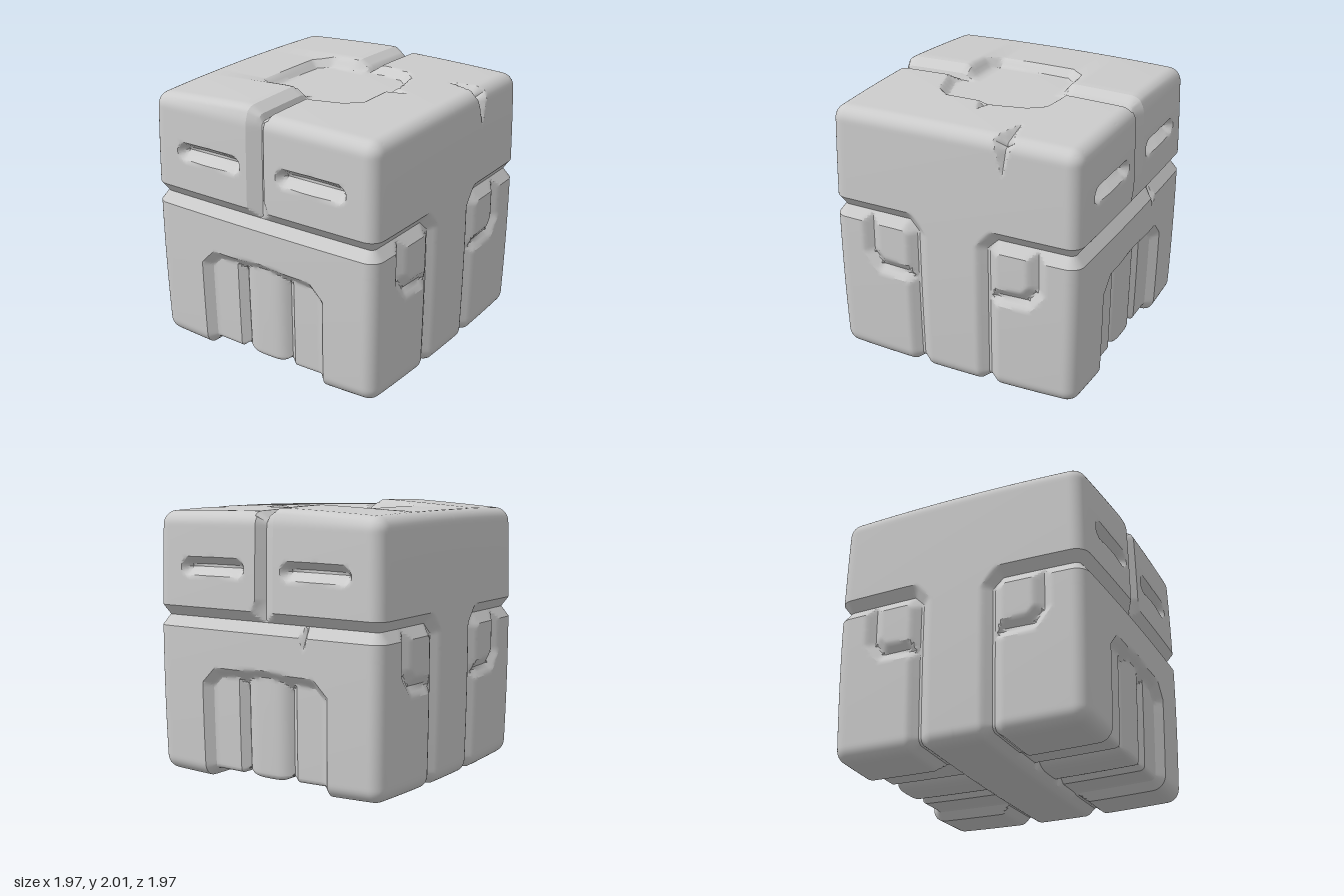
import * as THREE from 'three';
import { toCreasedNormals } from 'three/addons/utils/BufferGeometryUtils.js';

const N = 100;          // grid cells along each cube edge
const ROUND = 0.1;      // edge rounding
const clamp = THREE.MathUtils.clamp;
const sat = (t) => clamp(t, 0, 1);

// Distance from a point to one segment
function segDist(px, py, [ax, ay], [bx, by]) {
  const dx = bx - ax, dy = by - ay;
  const t = sat(((px - ax) * dx + (py - ay) * dy) / (dx * dx + dy * dy));
  return Math.hypot(px - ax - t * dx, py - ay - t * dy);
}

function pathDist(px, py, path) {
  let d = Infinity;
  for (let i = 1; i < path.length; i++) d = Math.min(d, segDist(px, py, path[i - 1], path[i]));
  return d;
}

// How far a point lies inside a closed outline (0 outside)
function insideDist(px, py, outline) {
  let inside = false;
  for (let i = 0, j = outline.length - 1; i < outline.length; j = i++) {
    const [ax, ay] = outline[i], [bx, by] = outline[j];
    if ((ay > py) !== (by > py) && px < ((bx - ax) * (py - ay)) / (by - ay) + ax) inside = !inside;
  }
  return inside ? pathDist(px, py, [...outline, outline[0]]) : 0;
}

// V-shaped cut; the two walls may have different widths
const vCut = (d, below, above, depth) => depth * sat(1 - Math.abs(d) / (d < 0 ? below : above));

// Outlines, in cube coordinates from -1 to 1
const MOUTH = [[-0.56, -2], [-0.56, -0.28], [-0.45, -0.17], [0, -0.145], [0.45, -0.17], [0.56, -0.28], [0.56, -2]];
const CROWN = [[-0.46, -0.28], [-0.34, -0.4], [-0.12, -0.42], [0, -0.48], [0.1, -0.46], [0.33, -0.44], [0.43, -0.33],
  [0.49, -0.08], [0.45, 0.06], [0.45, 0.34], [0.36, 0.44], [0.1, 0.52], [0, 0.5], [-0.08, 0.43], [-0.34, 0.43], [-0.45, 0.35]];
const SIDE_GROOVE = [[2, 0.2], [0.36, 0.2], [0.29, 0.12], [0.29, -2]];
const STUD_GROOVE = [[0.68, 0.2], [0.68, -0.12], [0.6, -0.22], [0.38, -0.23], [0.29, -0.27]];

// Mouth recess with three teeth rising out of it
function mouthDepth(x, y) {
  const wall = insideDist(x, y, MOUTH);
  const a = Math.abs(x);
  const tooth = a < 0.2 ? 0.055 + 0.06 * (a / 0.2) ** 4 : 0.065 + 0.05 * sat(1 - (a - 0.2) / 0.06);
  return Math.min(wall, tooth);
}

const browSeam = (x, flare) => vCut(x, 0.1, 0.06 + flare, 0.06);

// Front and back: brow seam, waist seam, eye slots, mouth
function faceDepth(x, y, back) {
  const a = Math.abs(x);
  const waist = vCut(y - 0.2, 0.08, 0.08, 0.06);
  const brow = y >= 0.19 ? browSeam(x, 0.08 * sat((0.36 - y) / 0.16)) : 0;
  const lid = 0.58 + 0.012 * (1 - Math.abs(a - 0.46) / 0.3);
  const eye = 0.08 * sat((1 - segDist(a, y, [0.23, lid], [0.69, lid]) / 0.07) * 1.2);
  const chip = back ? 0.06 * sat(1 - Math.abs(x + 0.36) / 0.05 - (0.16 - y) / 0.13) * (y < 0.2 ? 1 : 0) : 0;
  return Math.max(waist, brow, eye, chip, mouthDepth(x, y));
}

// Sides: T-shaped groove and the corner studs
function sideDepth(z, y) {
  const a = Math.abs(z);
  const groove = vCut(pathDist(a, y, SIDE_GROOVE), 0.08, 0.08, 0.06);
  const stud = vCut(pathDist(a, y, STUD_GROOVE), 0.07, 0.07, 0.05);
  return Math.max(groove, stud);
}

// Tapered nick across the left top edge
const nick = (t, z) => (t > 0 ? 0.09 * t * sat(1 - Math.abs(z + 0.42) / (0.08 * t)) : 0);

// Top: crown recess, seam and nicks
function topDepth(x, z) {
  const crown = Math.min(0.06, insideDist(x, z, CROWN));
  const seam = Math.abs(z) > 0.42 ? browSeam(x, 0.02) : 0;
  const t = (0.6 - x) / 0.14;
  const crownChip = x > 0.44 && t > 0 ? 0.05 * Math.min(t, 1) * sat(1 - Math.abs(z) / (0.06 * t)) : 0;
  return Math.max(crown, seam, crownChip, nick((x - 0.7) / 0.3, z));
}

// Underside: two cross grooves, teeth carried on underneath
function bottomDepth(x, z) {
  const a = Math.abs(z);
  return Math.max(vCut(a - 0.29, 0.08, 0.08, 0.06), a > 0.27 ? mouthDepth(x, -1) : 0);
}

function carveDepth(x, y, z) {
  const at = (v) => v > 0.9999;
  return Math.max(
    at(Math.abs(z)) ? faceDepth(x, y, z < 0) : 0,
    at(Math.abs(x)) ? sideDepth(z, y) : 0,
    at(x) ? nick((y - 0.72) / 0.28, z) : 0,
    at(y) ? topDepth(x, z) : 0,
    at(-y) ? bottomDepth(x, z) : 0);
}

// Cube point to carved, rounded and slightly bulging stone
function stonePoint(x, y, z) {
  const p = new THREE.Vector3(x, y, z);
  const lim = 1 - ROUND;
  const inner = new THREE.Vector3(clamp(x, -lim, lim), clamp(y, -lim, lim), clamp(z, -lim, lim));
  const normal = p.sub(inner).normalize();
  const q = inner.addScaledVector(normal, ROUND - carveDepth(x, y, z));
  const bulge = (a, b) => 1 - 0.016 * (a * a + b * b);
  const out = new THREE.Vector3(
    0.985 * q.x * bulge(q.y, q.z),
    q.y * bulge(q.x, q.z) * (q.y > 0 ? 0.975 : 1),
    0.985 * q.z * bulge(q.x, q.y));
  // Raised slab on the right half of the top
  if (y > 0.9 && x < 0) {
    const ridge = sat(1 - Math.abs(x + 0.15) / 0.8) * sat((Math.abs(z) - 0.32) / 0.14);
    out.y += (z > 0 ? 0.04 : 0.025) * ridge * sat((y - 0.9) * 10);
  }
  out.y += 1;
  return out;
}

// Which named part a patch of the surface belongs to
function partOf(x, y, z) {
  const az = Math.abs(z), end = z > 0 ? 'front' : 'back';
  if (y > 0.2) return 'head';
  if (az < 0.29) return 'middleBand';
  if (Math.abs(x) > 0.999 && az < 0.68 && y > -0.23) return end + 'Studs';
  if (Math.abs(x) < 0.5 && y < -0.2) return end + 'Teeth';
  return end + 'Jaw';
}

export function createModel() {
  const group = new THREE.Group();
  group.name = 'carvedStoneBlock';
  const parts = new Map();

  // Six gridded cube faces, each patch sorted into its part
  for (let axis = 0; axis < 3; axis++) {
    for (const side of [1, -1]) {
      const cubePoint = (i, j) => {
        const c = [0, 0, 0];
        c[axis] = side;
        c[(axis + 1) % 3] = (2 * i) / N - 1;
        c[(axis + 2) % 3] = (2 * j) / N - 1;
        return c;
      };
      const grid = [];
      for (let i = 0; i <= N; i++) {
        grid.push([]);
        for (let j = 0; j <= N; j++) grid[i].push(stonePoint(...cubePoint(i, j)));
      }
      for (let i = 0; i < N; i++) {
        for (let j = 0; j < N; j++) {
          const a = grid[i][j], b = grid[i + 1][j], c = grid[i + 1][j + 1], d = grid[i][j + 1];
          // Split along the shorter diagonal so slanted cuts stay clean
          const tris = a.distanceTo(c) <= b.distanceTo(d) ? [[a, b, c], [a, c, d]] : [[a, b, d], [b, c, d]];
          const name = partOf(...cubePoint(i + 0.5, j + 0.5));
          if (!parts.has(name)) parts.set(name, []);
          for (const [p, q, r] of tris) {
            for (const v of side > 0 ? [p, q, r] : [p, r, q]) parts.get(name).push(v);
          }
        }
      }
    }
  }

  // Normals are found on the whole stone so part borders stay seamless
  const whole = toCreasedNormals(new THREE.BufferGeometry().setFromPoints([...parts.values()].flat()), 0.5);
  const material = new THREE.MeshStandardMaterial({ color: 0xcccccc });
  let start = 0;
  for (const [name, points] of parts) {
    const geometry = new THREE.BufferGeometry();
    for (const key of ['position', 'normal']) {
      const slice = whole.attributes[key].array.slice(start * 3, (start + points.length) * 3);
      geometry.setAttribute(key, new THREE.BufferAttribute(slice, 3));
    }
    start += points.length;
    const mesh = new THREE.Mesh(geometry, material);
    mesh.name = name;
    group.add(mesh);
  }
  return group;
}
